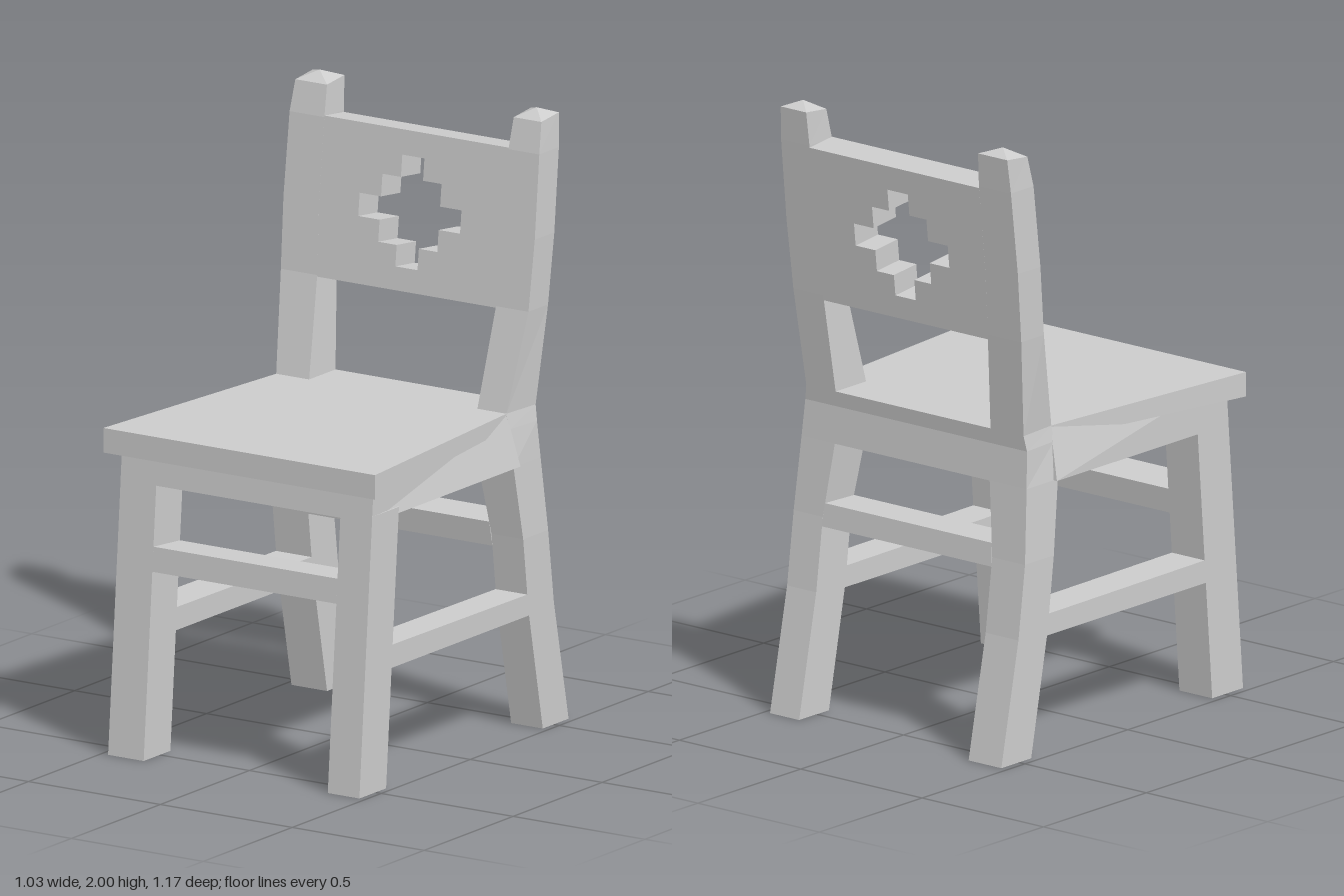
import * as THREE from 'three';

const wood = new THREE.MeshStandardMaterial({ color: 0xcccccc, flatShading: true });
wood.name = 'plain grey';

// Four-cornered cross-section: heights at front and back, x range, z range, optional x range at the back
function ring(yf, yb, x0, x1, zf, zb, bx0 = x0, bx1 = x1) {
  return [[x0, yf, zf], [x1, yf, zf], [bx1, yb, zb], [bx0, yb, zb]];
}

// Closed solid through a stack of cross-sections, lowest first
function loft(name, rings) {
  const pos = [];
  const quad = (a, b, c, d) => pos.push(...a, ...b, ...c, ...a, ...c, ...d);
  for (let k = 0; k < rings.length - 1; k++) {
    const a = rings[k], b = rings[k + 1];
    for (let i = 0; i < 4; i++) {
      const j = (i + 1) % 4;
      quad(a[i], a[j], b[j], b[i]);
    }
  }
  const lo = rings[0], hi = rings[rings.length - 1];
  quad(lo[3], lo[2], lo[1], lo[0]);
  quad(...hi);
  const geo = new THREE.BufferGeometry();
  geo.setAttribute('position', new THREE.Float32BufferAttribute(pos, 3));
  geo.computeVertexNormals();
  const mesh = new THREE.Mesh(geo, wood);
  mesh.name = name;
  return mesh;
}

// The legs on the +x side are slightly slimmer on the inside
const inner = (s, x) => s * (s > 0 ? x + 0.018 : x);
const outer = (s, x) => s * (s > 0 ? x + 0.003 : x);
function sideRing(s, yf, yb, xi, xo, zf, zb, xoBack = xo) {
  const a = inner(s, xi), b = outer(s, xo), c = outer(s, xoBack);
  return s > 0 ? ring(yf, yb, a, b, zf, zb, a, c) : ring(yf, yb, b, a, zf, zb, c, a);
}
const spanRing = (yf, yb, xi, zf, zb) => ring(yf, yb, inner(-1, xi), inner(1, xi), zf, zb);

// Back panel with a stepped cross cut-out, leaning with the posts
function backPanel() {
  const shape = new THREE.Shape([
    [inner(-1, 0.33), 1.365], [inner(1, 0.33), 1.365], [inner(1, 0.34), 1.6],
    [inner(1, 0.34), 1.875], [inner(-1, 0.34), 1.875], [inner(-1, 0.34), 1.6],
  ].map(p => new THREE.Vector2(...p)));
  const cx = 0.003, w = [0.042, 0.112, 0.193], y = [1.44, 1.508, 1.578, 1.652, 1.724, 1.795];
  const right = [];
  [0, 1, 2, 1, 0].forEach((k, i) => right.push([w[k], y[i]], [w[k], y[i + 1]]));
  const left = right.map(([x, h]) => [-x, h]).reverse();
  shape.holes.push(new THREE.Path([...right, ...left].map(([x, h]) => new THREE.Vector2(x + cx, h))));
  const geo = new THREE.ExtrudeGeometry(shape, { depth: 1, bevelEnabled: false });
  const p = geo.attributes.position;
  for (let i = 0; i < p.count; i++) {
    const t = p.getZ(i), h = p.getY(i) - 0.012 * (1 - t);
    p.setY(i, h);
    p.setZ(i, -0.48 + 0.11 * t - 0.11 * (h - 1.37));
  }
  geo.computeVertexNormals();
  const mesh = new THREE.Mesh(geo, wood);
  mesh.name = 'backPanel';
  return mesh;
}

export function createModel() {
  const group = new THREE.Group();
  group.name = 'chair';

  for (const s of [-1, 1]) {
    const side = s > 0 ? 'left' : 'right';
    // Raked front leg
    group.add(loft(side + 'FrontLeg', [
      sideRing(s, 0, 0, 0.34, 0.475, 0.59, 0.44),
      sideRing(s, 0.9, 0.9, 0.34, 0.475, 0.518, 0.368),
    ]));
    // Bent rear leg and back post in one piece, with a pyramid tip
    const px = s * (s > 0 ? 0.418 : 0.405);
    group.add(loft(side + 'BackPost', [
      sideRing(s, 0, 0, 0.34, 0.475, -0.44, -0.585),
      sideRing(s, 0.4, 0.4, 0.34, 0.475, -0.36, -0.502),
      sideRing(s, 0.64, 0.64, 0.34, 0.475, -0.33, -0.47),
      sideRing(s, 0.88, 0.88, 0.31, 0.462, -0.295, -0.447),
      sideRing(s, 1.0, 1.0, 0.31, 0.445, -0.295, -0.437, 0.455),
      sideRing(s, 1.05, 1.05, 0.31, 0.435, -0.295, -0.443, 0.446),
      sideRing(s, 1.37, 1.37, 0.33, 0.468, -0.37, -0.48),
      sideRing(s, 1.6, 1.6, 0.34, 0.475, -0.395, -0.505),
      sideRing(s, 1.87, 1.87, 0.34, 0.472, -0.425, -0.535),
      sideRing(s, 1.97, 1.98, 0.345, 0.465, -0.447, -0.545),
      ring(2, 2, px, px, -0.495, -0.495),
    ]));
    // Side stretcher
    group.add(loft(side + 'Stretcher', [
      sideRing(s, 0.385, 0.385, 0.34, 0.475, 0.42, -0.37),
      sideRing(s, 0.46, 0.455, 0.34, 0.475, 0.415, -0.36),
    ]));
  }

  // Seat board, tapering to the back
  group.add(loft('seat', [
    ring(0.97, 1.0, -0.515, 0.515, 0.557, -0.295, -0.435, 0.438),
    ring(1.05, 1.05, -0.515, 0.515, 0.557, -0.295, -0.435, 0.438),
  ]));
  // Solid frame under the seat
  group.add(loft('seatFrame', [
    ring(0.88, 0.88, -0.475, 0.478, 0.52, -0.315),
    ring(1.045, 1.045, -0.475, 0.478, 0.506, -0.298, -0.435, 0.438),
  ]));
  // Rear rail, following the bend of the posts
  group.add(loft('rearRail', [
    spanRing(0.88, 0.88, 0.31, -0.295, -0.447),
    spanRing(1.0, 1.0, 0.31, -0.295, -0.437),
    spanRing(1.05, 1.05, 0.31, -0.295, -0.443),
  ]));
  // Front and rear stretchers
  group.add(loft('frontStretcher', [
    spanRing(0.605, 0.593, 0.34, 0.542, 0.393),
    spanRing(0.685, 0.673, 0.34, 0.535, 0.386),
  ]));
  group.add(loft('rearStretcher', [
    spanRing(0.6, 0.61, 0.34, -0.335, -0.475),
    spanRing(0.68, 0.685, 0.335, -0.324, -0.466),
  ]));
  group.add(backPanel());
  return group;
}
